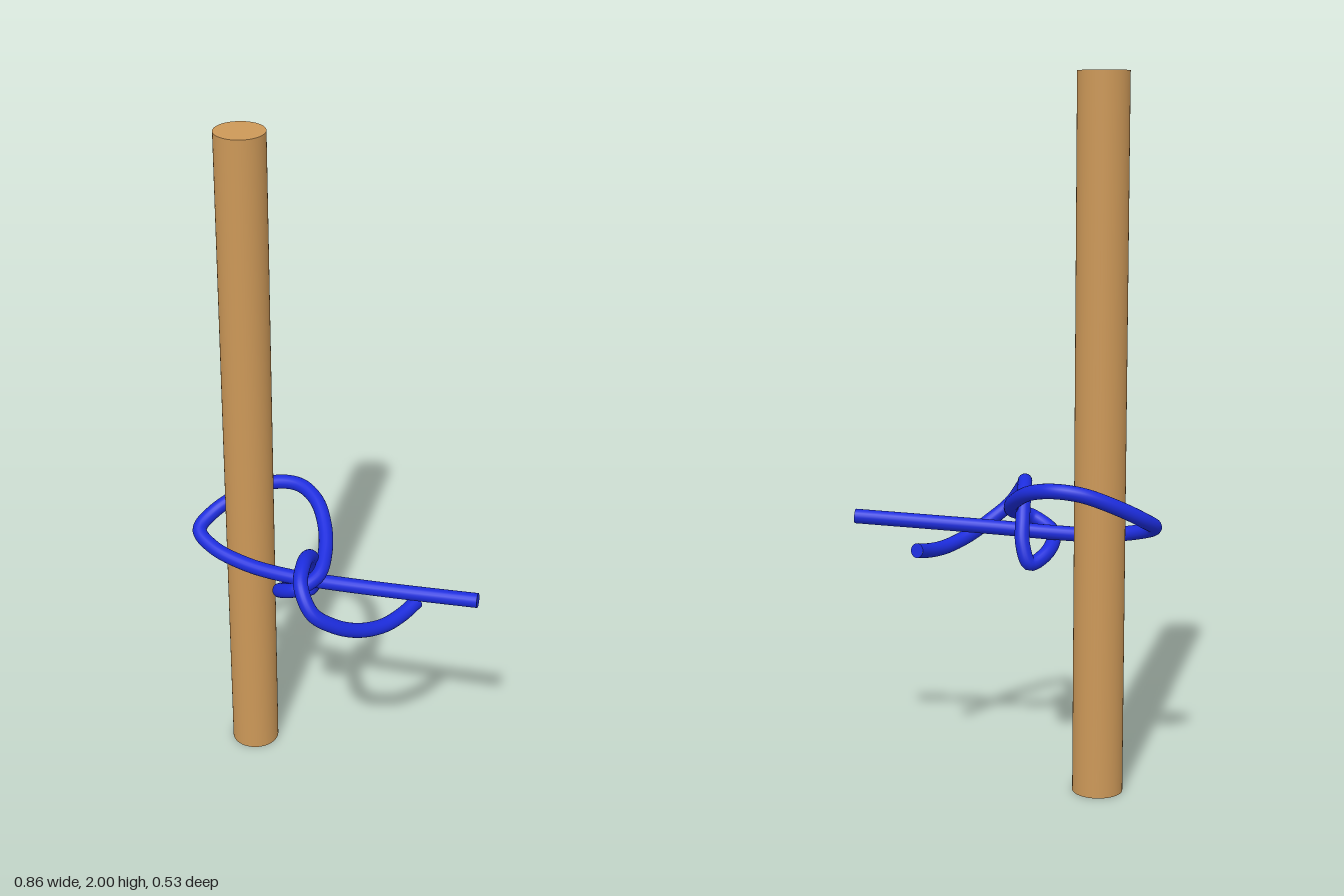
import * as THREE from 'three';

const ROPE_RADIUS = 0.021;

export function createModel() {
  const model = new THREE.Group();
  const wood = new THREE.MeshStandardMaterial({ color: 0xcc9858 });
  const blue = new THREE.MeshStandardMaterial({ color: 0x1c2cdc });

  // Upright pole
  const pole = new THREE.Mesh(new THREE.CylinderGeometry(0.071, 0.071, 2, 48), wood);
  pole.name = 'pole';
  pole.position.set(-0.257, 1, -0.143);
  model.add(pole);

  // Rope centreline: standing end, round the pole, small loop, tail
  const path = new THREE.CatmullRomCurve3([
    [0.428, 0.742, 0.112], [0.2, 0.73, 0.075], [0, 0.72, 0.038],
    [-0.12, 0.714, 0.01], [-0.25, 0.715, -0.034], [-0.36, 0.733, -0.088],
    [-0.409, 0.758, -0.14], [-0.375, 0.79, -0.193], [-0.3, 0.833, -0.23],
    [-0.2, 0.873, -0.246], [-0.12, 0.881, -0.227], [-0.063, 0.865, -0.172],
    [-0.03, 0.831, -0.095], [-0.018, 0.795, -0.01], [-0.03, 0.763, 0.07],
    [-0.085, 0.738, 0.108], [-0.141, 0.7, 0.065], [-0.122, 0.66, -0.005],
    [-0.068, 0.636, -0.046], [-0.049, 0.69, -0.035], [-0.051, 0.76, 0],
    [-0.056, 0.81, 0.045], [-0.063, 0.838, 0.125], [-0.062, 0.812, 0.2],
    [-0.026, 0.75, 0.24], [0.035, 0.702, 0.226], [0.1, 0.665, 0.186],
    [0.165, 0.646, 0.128], [0.212, 0.648, 0.072], [0.25, 0.66, 0.019],
  ].map((p) => new THREE.Vector3(...p)));

  const rope = new THREE.Group();
  rope.name = 'rope';
  const strand = new THREE.Mesh(new THREE.TubeGeometry(path, 320, ROPE_RADIUS, 20), blue);
  strand.name = 'ropeStrand';
  rope.add(strand);

  // Flat discs closing both cut ends
  for (const [name, t, sign] of [['standingEnd', 0, -1], ['tailEnd', 1, 1]]) {
    const cap = new THREE.Mesh(new THREE.CircleGeometry(ROPE_RADIUS, 20), blue);
    cap.name = name;
    cap.position.copy(path.getPointAt(t));
    const outward = path.getTangentAt(t).multiplyScalar(sign);
    cap.quaternion.setFromUnitVectors(new THREE.Vector3(0, 0, 1), outward);
    rope.add(cap);
  }
  model.add(rope);
  return model;
}
